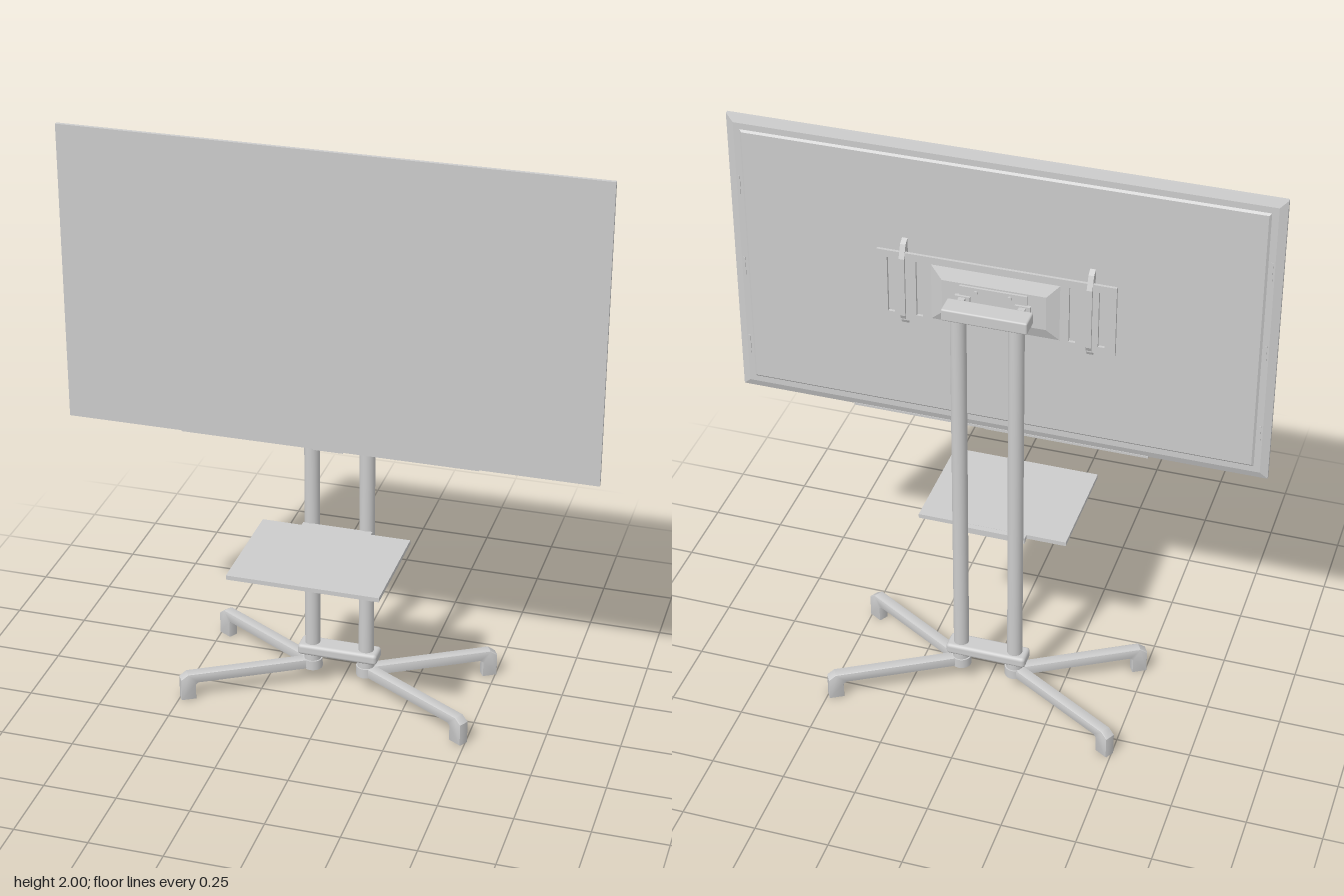
import * as THREE from 'three';
import { RoundedBoxGeometry } from 'three/addons/geometries/RoundedBoxGeometry.js';
import { toCreasedNormals } from 'three/addons/utils/BufferGeometryUtils.js';

const grey = new THREE.MeshStandardMaterial({ color: 0xcccccc });
const POLE_X = 0.095, POLE_Z = -0.098;

function add(parent, name, geometry, x = 0, y = 0, z = 0) {
  const mesh = new THREE.Mesh(geometry, grey);
  mesh.name = name;
  mesh.position.set(x, y, z);
  parent.add(mesh);
  return mesh;
}
const box = (w, h, d) => new THREE.BoxGeometry(w, h, d);
const polygon = (points) => new THREE.Shape(points.map(([x, y]) => new THREE.Vector2(x, y)));

function rectPath(PathType, x, y, w, h) {
  const p = new PathType();
  p.moveTo(x - w / 2, y - h / 2);
  p.lineTo(x + w / 2, y - h / 2);
  p.lineTo(x + w / 2, y + h / 2);
  p.lineTo(x - w / 2, y + h / 2);
  p.closePath();
  return p;
}

// Box whose back face (-z) is narrower than its front face
function taperedBox(w, h, d, inset) {
  const g = box(w, h, d).toNonIndexed();
  const p = g.attributes.position;
  for (let i = 0; i < p.count; i++) {
    if (p.getZ(i) < 0) {
      p.setX(i, p.getX(i) - Math.sign(p.getX(i)) * inset);
      p.setY(i, p.getY(i) - Math.sign(p.getY(i)) * inset);
    }
  }
  g.computeVertexNormals();
  return g;
}

function createScreen() {
  const screen = new THREE.Group();
  screen.name = 'screen';
  add(screen, 'displayPanel', box(1.78, 1.02, 0.012), 0, 1.49, 0.035);
  add(screen, 'rearBevel', taperedBox(1.78, 1.02, 0.009, 0.025), 0, 1.49, 0.0245);
  add(screen, 'rearCover', taperedBox(1.69, 0.93, 0.007, 0.008), 0, 1.49, 0.0175);
  add(screen, 'bottomLip', box(1.0, 0.008, 0.012), 0, 0.979, 0.032);
  add(screen, 'sensor', box(0.1, 0.01, 0.012), 0, 0.977, 0.033);
  // Short strips along the rear side margins
  for (const side of [-1, 1])
    for (const y of [1.15, 1.45, 1.75]) add(screen, 'sideStrip', box(0.006, 0.07, 0.004), side * 0.856, y, 0.0195);
  return screen;
}

function createMount() {
  const mount = new THREE.Group();
  mount.name = 'wallMount';
  // Back plate with vertical slots
  const plate = rectPath(THREE.Shape, 0, 0, 0.78, 0.25);
  for (const side of [-1, 1])
    for (const x of [0.25, 0.345]) plate.holes.push(rectPath(THREE.Path, side * x, 0, 0.022, 0.2));
  add(mount, 'mountPlate', new THREE.ExtrudeGeometry(plate, { depth: 0.01, bevelEnabled: false }), 0, 1.5, -0.016);
  // Raised centre, sloping towards both sides
  add(mount, 'raisedCentre', taperedBox(0.42, 0.2, 0.016, 0.04), 0, 1.5, -0.024);
  add(mount, 'centrePad', box(0.22, 0.11, 0.012), 0, 1.5, -0.034);
  for (const side of [-1, 1]) {
    for (const y of [1.465, 1.54]) {
      const bolt = add(mount, 'bolt', new THREE.CylinderGeometry(0.007, 0.007, 0.012, 12), side * 0.055, y, -0.042);
      bolt.rotation.x = Math.PI / 2;
    }
    // Vertical hook rails with tapered ends
    const rail = polygon([[-0.018, 1.345], [0.006, 1.36], [0.024, 1.395],
      [0.024, 1.605], [0.006, 1.65], [-0.018, 1.665]]);
    const railMesh = add(mount, 'hookRail', new THREE.ExtrudeGeometry(rail, { depth: 0.018, bevelEnabled: false }), side * 0.305 + 0.009, 0, 0);
    railMesh.rotation.y = -Math.PI / 2;
    railMesh.scale.x = -1;
    railMesh.material = grey;
    // Arms joining the mount to the pole bracket
    add(mount, 'mountArm', box(0.022, 0.038, 0.05), side * 0.098, 1.5, -0.055);
    add(mount, 'armFlange', box(0.05, 0.045, 0.012), side * 0.098, 1.5, -0.042);
  }
  return mount;
}

function createLeg() {
  // Side outline: level arm with a chamfered, down-turned foot
  const outline = polygon([[0, 0.067], [0.405, 0.067], [0.417, 0.058], [0.417, 0.004],
    [0.46, 0.004], [0.46, 0.078], [0.438, 0.094], [0, 0.094]]);
  const g = new THREE.ExtrudeGeometry(outline, {
    depth: 0.03, bevelThickness: 0.004, bevelSize: 0.004, bevelSegments: 2 });
  g.translate(0, 0, -0.015);
  return toCreasedNormals(g, 0.6);
}

export function createModel() {
  const model = new THREE.Group();
  model.name = 'screenStand';
  model.add(createScreen(), createMount());

  // Poles, hubs and legs
  const legGeometry = createLeg();
  for (const side of [-1, 1]) {
    add(model, 'pole', new THREE.CylinderGeometry(0.026, 0.026, 1.41, 32), side * POLE_X, 0.79, POLE_Z);
    add(model, 'hub', new THREE.CylinderGeometry(0.034, 0.034, 0.035, 32), side * POLE_X, 0.0805, POLE_Z);
    add(model, 'hubCollar', new THREE.CylinderGeometry(0.029, 0.029, 0.025, 32), side * POLE_X, 0.108, POLE_Z);
    for (const angle of [-Math.PI / 6, Math.PI / 6]) {
      const leg = add(model, 'leg', legGeometry, side * POLE_X, 0, POLE_Z);
      leg.rotation.y = side > 0 ? angle : Math.PI - angle;
    }
  }

  // Clamps tying the poles together
  add(model, 'baseClamp', new RoundedBoxGeometry(0.28, 0.04, 0.074, 3, 0.012), 0, 0.14, POLE_Z);
  add(model, 'topBracket', new RoundedBoxGeometry(0.28, 0.042, 0.072, 3, 0.006), 0, 1.501, -0.101);

  // Shelf with a small tapered support at the poles
  add(model, 'shelf', box(0.51, 0.015, 0.39), 0, 0.627, 0.14);
  const support = polygon([[0.03, 0.62], [-0.055, 0.62], [-0.075, 0.612], [-0.075, 0.634], [0.03, 0.634]]);
  const supportGeometry = new THREE.ExtrudeGeometry(support, { depth: 0.24, bevelEnabled: false });
  supportGeometry.rotateY(-Math.PI / 2);
  add(model, 'shelfSupport', supportGeometry, 0.12, 0, 0);
  return model;
}
